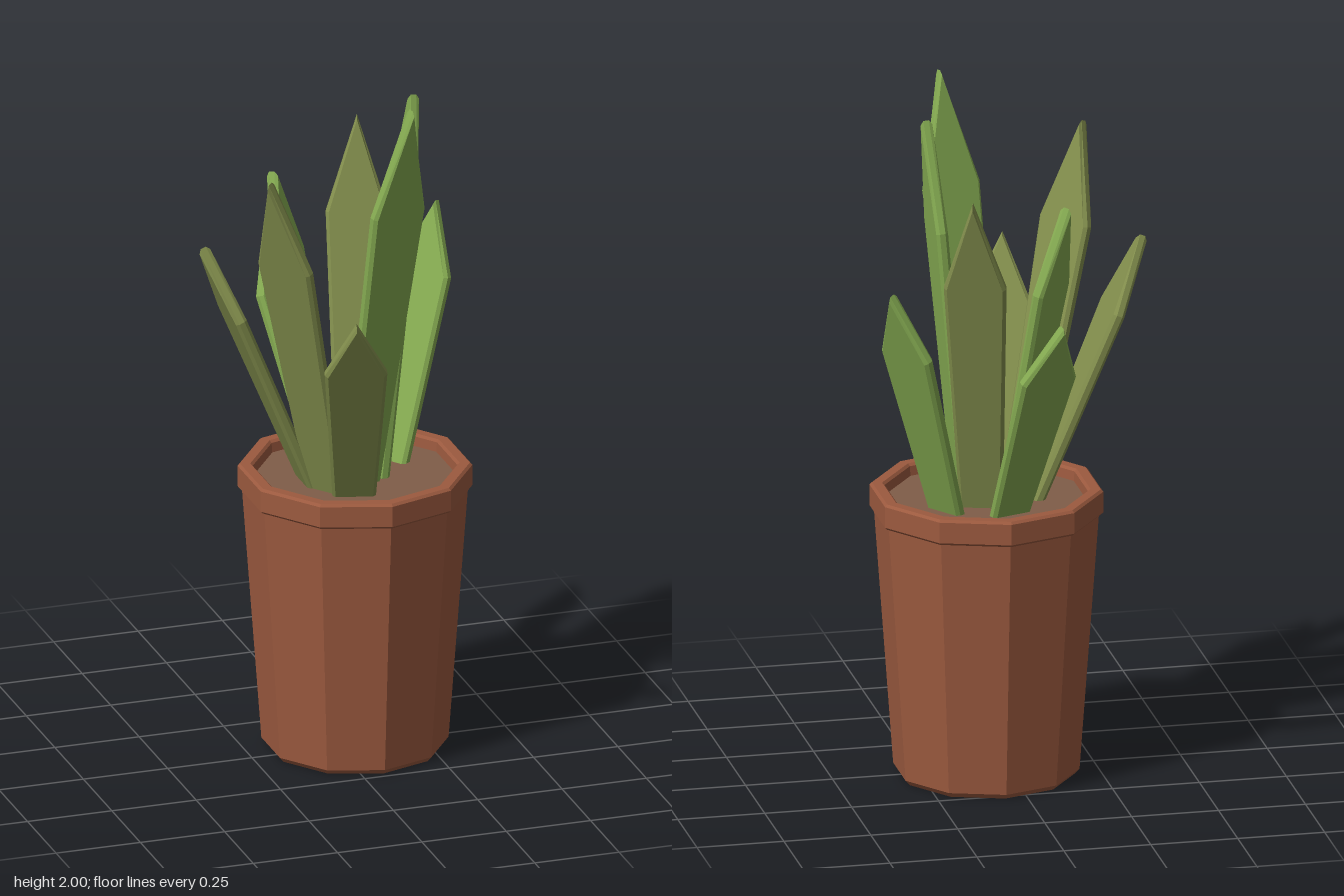
import * as THREE from 'three';

const flat = (name, color) => {
  const m = new THREE.MeshStandardMaterial({ color, flatShading: true });
  m.name = name;
  return m;
};

export function createModel() {
  const terracotta = flat('terracotta', 0x9c5a3f);
  const soilBrown = flat('soil brown', 0x805d48);
  const green = flat('leaf green', 0x86ac52);
  const olive = flat('leaf olive', 0x84904e);

  const model = new THREE.Group();
  model.name = 'pottedPlant';
  const add = (parent, name, geometry, material) => {
    const mesh = new THREE.Mesh(geometry, material);
    mesh.name = name;
    parent.add(mesh);
    return mesh;
  };

  // Ten-sided pot, slightly off centre under the leaves
  const pot = new THREE.Group();
  pot.name = 'pot';
  pot.position.set(0.062, 0, -0.02);
  model.add(pot);
  const turned = (points) =>
    new THREE.LatheGeometry(points.map(([r, y]) => new THREE.Vector2(r, y)), 10);
  add(pot, 'potBody', turned([[0, 0], [0.25, 0], [0.263, 0.015], [0.318, 0.775]]), terracotta);
  add(pot, 'potRim', turned([
    [0.3, 0.77], [0.323, 0.77], [0.33, 0.777], [0.33, 0.838], [0.323, 0.845],
    [0.294, 0.845], [0.287, 0.838], [0.284, 0.8],
  ]), terracotta);
  const soil = add(pot, 'soil', new THREE.CylinderGeometry(0.286, 0.286, 0.02, 10), soilBrown);
  soil.position.y = 0.8;

  // Leaf: a bevelled slab, widest below its pointed tip, set between a base and a tip point
  const thickness = 0.034, bevel = 0.009;
  function addLeaf(name, base, tip, across, material) {
    const start = new THREE.Vector3(base[0], 0.79, base[1]);
    const up = new THREE.Vector3(...tip).sub(start);
    const length = up.length();
    up.normalize();
    const side = new THREE.Vector3(across[0], 0, across[1]);
    side.addScaledVector(up, -side.dot(up)).normalize();
    const out = new THREE.Vector3().crossVectors(side, up);

    const shoulder = length * 0.73;
    const outline = new THREE.Shape([
      [-0.06, 0], [0.06, 0], [0.088, shoulder], [0, length], [-0.088, shoulder],
    ].map(([x, y]) => new THREE.Vector2(x, y)));
    const geometry = new THREE.ExtrudeGeometry(outline, {
      depth: thickness - 2 * bevel,
      bevelEnabled: true, bevelSegments: 1, bevelThickness: bevel,
      bevelSize: bevel, bevelOffset: -bevel,
    });
    geometry.translate(0, 0, bevel - thickness / 2);
    geometry.applyMatrix4(new THREE.Matrix4().makeBasis(side, up, out).setPosition(start));
    add(model, name, geometry, material);
  }

  // Name, base (x, z), tip (x, y, z), direction across the blade (x, z), colour
  [
    ['frontTallLeaf', [0.055, 0.045], [0.143, 2.0, 0.235], [0.96, -0.29], green],
    ['leftTallLeaf', [0.13, -0.025], [0.235, 1.94, -0.018], [0, -1], green],
    ['rightInnerLeaf', [0, -0.03], [-0.138, 1.7, -0.16], [0.64, -0.77], green],
    ['leftOuterLeaf', [0.19, -0.1], [0.385, 1.51, -0.255], [0.58, 0.82], green],
    ['backOuterLeaf', [0.03, -0.16], [-0.07, 1.435, -0.415], [0.95, -0.32], green],
    ['backInnerLeaf', [0.09, -0.085], [0.163, 1.78, -0.302], [0.95, 0.3], olive],
    ['rightOuterLeaf', [-0.07, -0.02], [-0.388, 1.555, -0.02], [0, 1], olive],
    ['frontRightLeaf', [-0.045, 0.055], [-0.27, 1.825, 0.22], [0.6, 0.8], olive],
    ['frontOuterLeaf', [0.015, 0.11], [-0.08, 1.445, 0.415], [0.96, 0.27], olive],
  ].forEach((leaf) => addLeaf(...leaf));

  return model;
}
